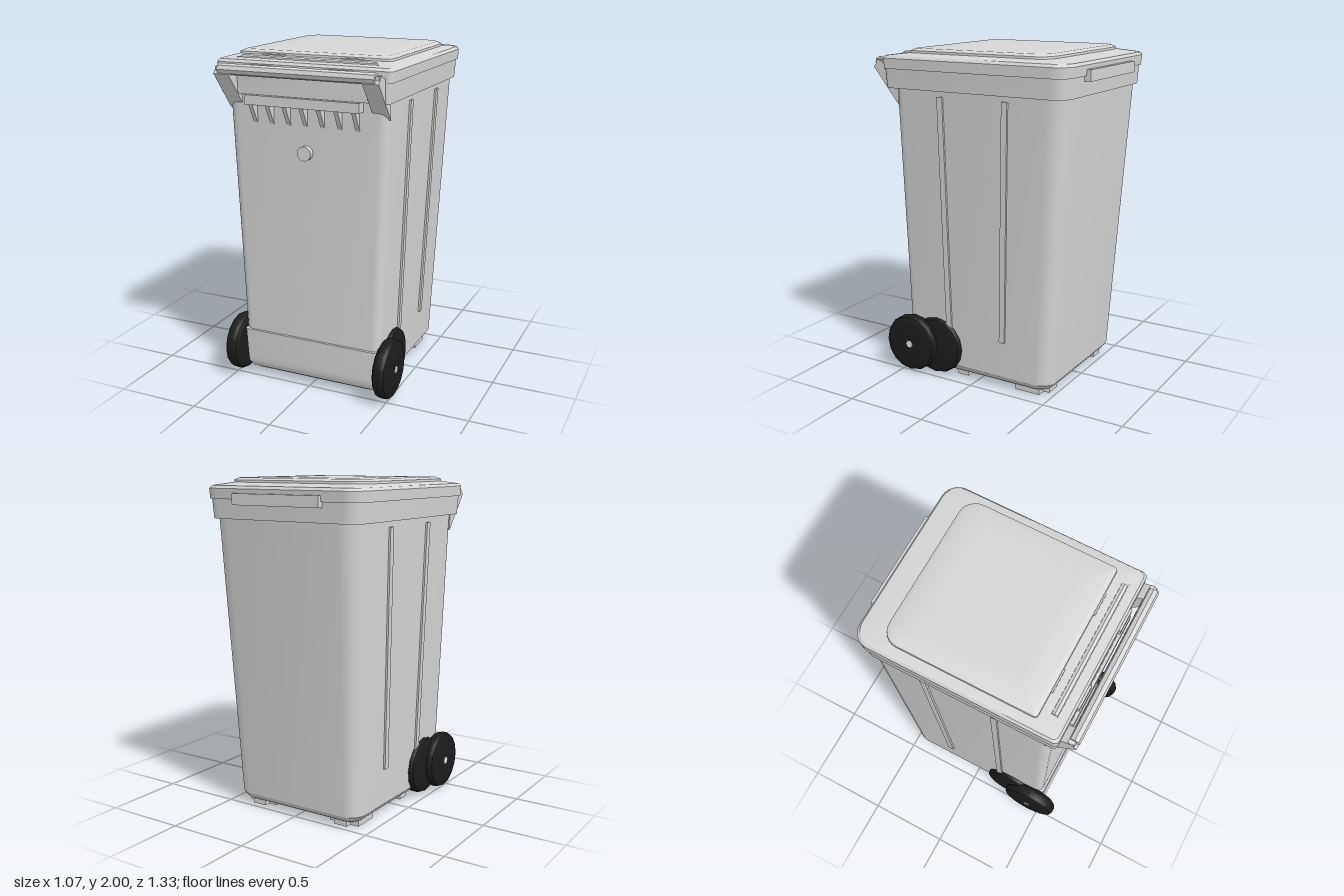
import * as THREE from 'three';
import { toCreasedNormals } from 'three/addons/utils/BufferGeometryUtils.js';

const mat = (name, color) => Object.assign(new THREE.MeshStandardMaterial({ color }), { name });

// Ring of a rounded rectangle in the xz plane with separate front and back radii
function ring([hx, zf, zb, y, rf, rb], seg = 6) {
  const pts = [];
  const corners = [[hx - rf, zf - rf, rf], [-hx + rf, zf - rf, rf], [-hx + rb, zb + rb, rb], [hx - rb, zb + rb, rb]];
  corners.forEach(([cx, cz, r], k) => {
    for (let i = 0; i <= seg; i++) {
      const a = (k + i / seg) * Math.PI / 2;
      pts.push([cx + r * Math.cos(a), y, cz + r * Math.sin(a)]);
    }
  });
  return pts;
}

// Closed loft through rings [halfWidth, zFront, zBack, y, rFront, rBack]
function loft(sections) {
  const rings = sections.map(s => ring(s));
  const n = rings[0].length, pos = rings.flat(2), idx = [];
  for (let k = 0; k < rings.length - 1; k++)
    for (let i = 0; i < n; i++) {
      const a = k * n + i, b = k * n + (i + 1) % n;
      idx.push(a, a + n, b, b, a + n, b + n);
    }
  const centre = s => [0, s[3], (s[1] + s[2]) / 2];
  const last = (rings.length - 1) * n, c0 = rings.length * n, c1 = c0 + 1;
  pos.push(...centre(sections[0]), ...centre(sections[sections.length - 1]));
  for (let i = 0; i < n; i++) {
    const j = (i + 1) % n;
    idx.push(c0, i, j, c1, last + j, last + i);
  }
  const g = new THREE.BufferGeometry();
  g.setAttribute('position', new THREE.Float32BufferAttribute(pos, 3));
  g.setIndex(idx);
  return toCreasedNormals(g, 0.5);
}

// Box from minimum and maximum corners
function box(x0, x1, y0, y1, z0, z1) {
  return new THREE.BoxGeometry(x1 - x0, y1 - y0, z1 - z0).translate((x0 + x1) / 2, (y0 + y1) / 2, (z0 + z1) / 2);
}

// Eight-sided rod along x
function rod(radius, length, y, z) {
  return toCreasedNormals(
    new THREE.CylinderGeometry(radius, radius, length, 8).rotateZ(Math.PI / 2).translate(0, y, z), 0.3);
}

// Side profile of [z, y] points given a width along x
function sidePlate(points, x0, x1) {
  const shape = new THREE.Shape(points.map(([z, y]) => new THREE.Vector2(-z, y)));
  return new THREE.ExtrudeGeometry(shape, { depth: x1 - x0, bevelEnabled: false })
    .rotateY(Math.PI / 2).translate(x0, 0, 0);
}

export function createModel() {
  const group = new THREE.Group();
  const grey = mat('light grey plastic', 0xd6d6d6);
  const black = mat('black rubber', 0x1c1c1c);
  const metal = mat('pale metal', 0xe6e6e6);
  const add = (name, geo, material = grey) => {
    const m = new THREE.Mesh(geo, material);
    m.name = name;
    group.add(m);
  };

  // Tapered body with a shallow recessed floor
  add('body', loft([
    [0.38, 0.43, -0.44, 0.06, 0.04, 0.07],
    [0.395, 0.445, -0.455, 0.03, 0.04, 0.07],
    [0.415, 0.465, -0.48, 0.045, 0.05, 0.08],
    [0.436, 0.483, -0.50, 0.075, 0.05, 0.09],
    [0.497, 0.512, -0.61, 1.78, 0.06, 0.11],
  ]));
  add('lowerFrontPanel', loft([
    [0.41, 0.475, 0.40, 0.05, 0.02, 0.02],
    [0.428, 0.495, 0.40, 0.085, 0.02, 0.02],
    [0.43, 0.498, 0.40, 0.125, 0.02, 0.02],
    [0.438, 0.502, 0.40, 0.30, 0.02, 0.02],
  ]));

  // Collar under the lid
  add('collar', loft([
    [0.515, 0.558, -0.622, 1.767, 0.03, 0.09],
    [0.522, 0.563, -0.628, 1.885, 0.03, 0.09],
  ]));

  // Lid with a raised panel
  add('lid', loft([
    [0.533, 0.565, -0.638, 1.88, 0.03, 0.1],
    [0.535, 0.565, -0.643, 1.94, 0.03, 0.1],
    [0.522, 0.553, -0.63, 1.956, 0.03, 0.1],
    [0.47, 0.42, -0.498, 1.972, 0.02, 0.1],
  ]));
  add('lidPanel', loft([
    [0.47, 0.415, -0.498, 1.965, 0.02, 0.1],
    [0.468, 0.413, -0.496, 1.985, 0.02, 0.1],
    [0.44, 0.39, -0.47, 1.998, 0.02, 0.08],
    [0.30, 0.25, -0.33, 2.0, 0.02, 0.06],
  ]));
  add('lidGrip', box(-0.295, 0.295, 1.85, 1.915, -0.665, -0.62));
  add('lidHingeBar', rod(0.023, 0.815, 1.953, 0.483));
  add('lidHingePin', box(-0.43, 0.43, 1.945, 1.964, 0.49, 0.503));

  // Handle bar with its sloping brackets
  add('handleBar', rod(0.032, 0.94, 1.91, 0.629));
  add('handleRail', box(-0.49, 0.49, 1.895, 1.925, 0.6, 0.64));
  for (const s of [-1, 1]) {
    const span = (a, b) => s > 0 ? [a, b] : [-b, -a];
    add('handleBracket', sidePlate([[0.655, 1.885], [0.62, 1.925], [0.56, 1.9], [0.48, 1.88], [0.48, 1.67]], ...span(0.4, 0.495)));
    add('hingeTab', box(...span(0.17, 0.31), 1.89, 1.935, 0.54, 0.578));
    add('hingeStop', box(...span(0.17, 0.31), 1.95, 1.978, 0.405, 0.423));

    // Raised strips down each side: [z at top, z at bottom]
    for (const [zTop, zLow] of [[0.183, 0.18], [-0.247, -0.195]]) {
      const g = new THREE.BoxGeometry(0.04, 1, 0.037), p = g.attributes.position;
      for (let i = 0; i < p.count; i++) {
        const t = p.getY(i) + 0.5, y = 0.3 + t * 1.435;
        const side = 0.433 + y * 0.0358;
        p.setXYZ(i, s * (side - 0.008) + p.getX(i), y, p.getZ(i) + zLow + t * (zTop - zLow));
      }
      g.computeVertexNormals();
      add('sideStrip', g);
    }

    // Feet: crosses at the back, small blocks towards the wheels
    add('rearFoot', box(...span(0.2, 0.4), 0, 0.07, -0.42, -0.26));
    add('rearFootBar', box(...span(0.255, 0.345), 0.001, 0.07, -0.46, -0.12));
    add('frontFoot', box(...span(0.21, 0.39), 0, 0.07, 0.085, 0.16));

    // Paired wheels, the outer one set further forward
    for (const [name, x0, x1, z] of [['outerWheel', 0.44, 0.53, 0.432], ['innerWheel', 0.37, 0.48, 0.275]]) {
      const w = x1 - x0;
      const profile = [[0, 0], [0.15, 0], [0.17, 0.012], [0.178, 0.03], [0.178, w - 0.03], [0.17, w - 0.012],
        [0.15, w - 0.003], [0.12, w], [0, w]];
      const g = new THREE.LatheGeometry(profile.map(p => new THREE.Vector2(...p)), 16);
      g.rotateZ(-s * Math.PI / 2).translate(s * x0, 0.187, z);
      add(name, toCreasedNormals(g, 0.5), black);
    }
    add('axleCap', new THREE.CylinderGeometry(0.024, 0.024, 0.02, 6).rotateZ(Math.PI / 2)
      .translate(s * 0.523, 0.187, 0.428), metal);
  }

  // Lifting ledge with seven gussets
  add('liftLedge', box(-0.35, 0.35, 1.71, 1.765, 0.49, 0.575));
  for (let i = -3; i <= 3; i++)
    add('gusset', sidePlate([[0.572, 1.715], [0.5, 1.715], [0.5, 1.6], [0.512, 1.6]], i * 0.105 - 0.012, i * 0.105 + 0.012));

  // Round plug on the front
  add('plug', toCreasedNormals(
    new THREE.CylinderGeometry(0.042, 0.042, 0.05, 20).rotateX(Math.PI / 2).translate(0, 1.45, 0.513), 0.5));

  return group;
}
